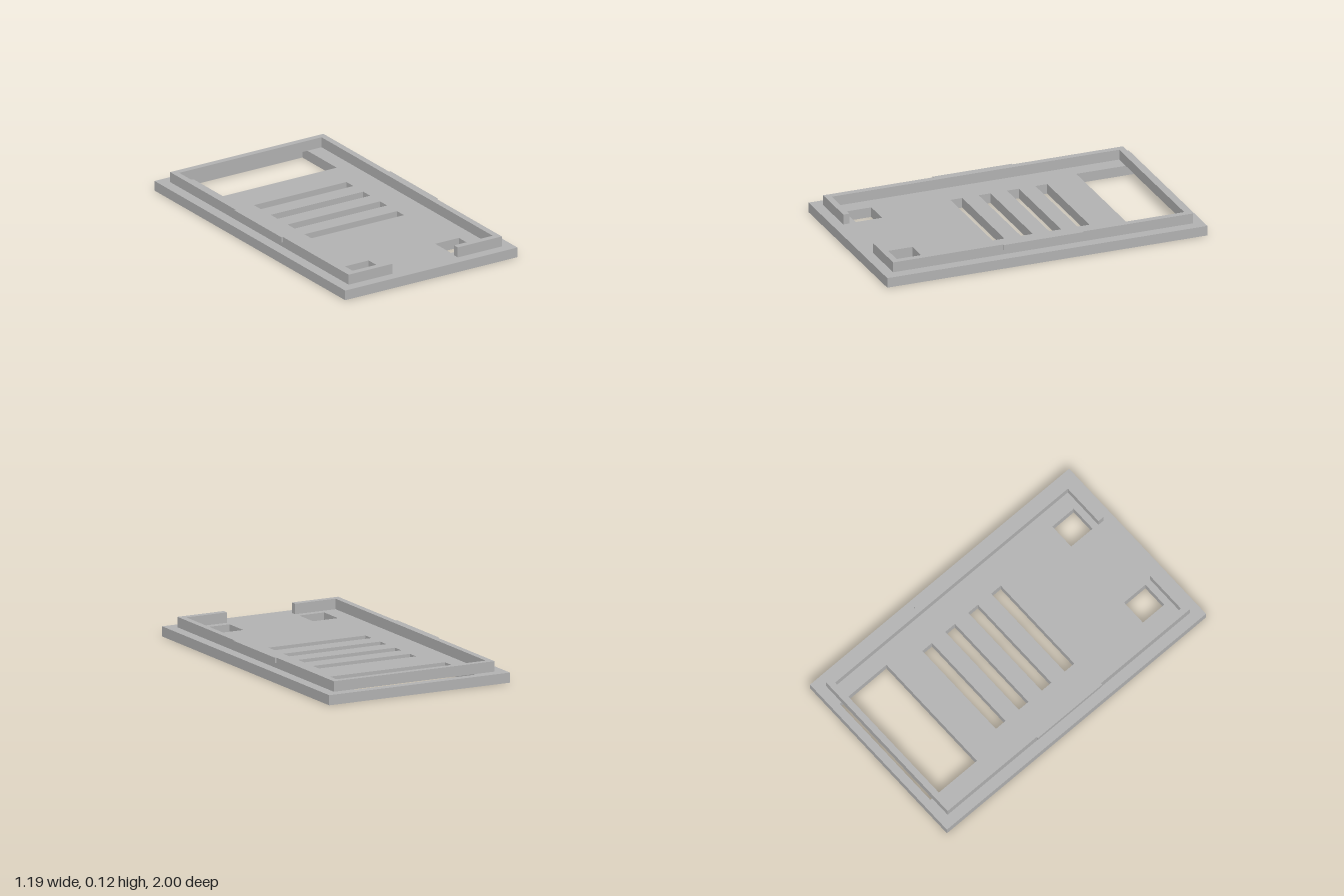
import * as THREE from 'three';

const grey = new THREE.MeshStandardMaterial({ color: 0xb2b2b2 });
grey.name = 'plain grey';

const PLATE_H = 0.06, TOP = 0.122;

// Closed rectangle as a path in plan (x, z)
function rect(x0, x1, z0, z1) {
  return new THREE.Path([[x0, z0], [x1, z0], [x1, z1], [x0, z1]].map(([x, z]) => new THREE.Vector2(x, z)));
}

// Extrude a plan outline between two heights
function slab(name, points, y0, y1, holes = []) {
  const shape = new THREE.Shape(points.map(([x, z]) => new THREE.Vector2(x, z)));
  shape.holes.push(...holes);
  const geo = new THREE.ExtrudeGeometry(shape, { depth: y1 - y0, bevelEnabled: false });
  geo.rotateX(Math.PI / 2).translate(0, y1, 0);
  const mesh = new THREE.Mesh(geo, grey);
  mesh.name = name;
  return mesh;
}

export function createModel() {
  const group = new THREE.Group();
  group.name = 'coverPanel';

  // Base plate: screen window, four vent slots, two square holes
  const holes = [rect(-0.394, 0.394, -0.95, -0.589)];
  for (let i = 0; i < 4; i++) {
    const z = -0.377 + i * 0.177;
    holes.push(rect(-0.32, 0.32, z, z + 0.074));
  }
  for (const s of [-1, 1]) holes.push(rect(s * 0.312 - 0.082, s * 0.312 + 0.082, 0.692, 0.857));
  group.add(slab('basePlate', [[-0.596, -1], [0.596, -1], [0.596, 1], [-0.596, 1]], 0, PLATE_H, holes));

  // Raised rim, open in the middle of the front
  const ox = 0.53, ix = 0.492, oz = 0.936, iz = 0.898, gap = 0.225;
  group.add(slab('rim', [
    [-gap, oz], [-ox, oz], [-ox, -oz], [ox, -oz], [ox, oz], [gap, oz],
    [gap, iz], [ix, iz], [ix, -iz], [-ix, -iz], [-ix, iz], [-gap, iz],
  ], PLATE_H, TOP));

  // Snap ridges on both long sides
  for (const s of [-1, 1]) {
    const ridge = new THREE.Mesh(new THREE.BoxGeometry(0.01, 0.032, 0.496), grey);
    ridge.position.set(s * (ox + 0.005), TOP - 0.016, 0);
    ridge.name = s > 0 ? 'leftSnapRidge' : 'rightSnapRidge';
    group.add(ridge);
  }
  return group;
}
